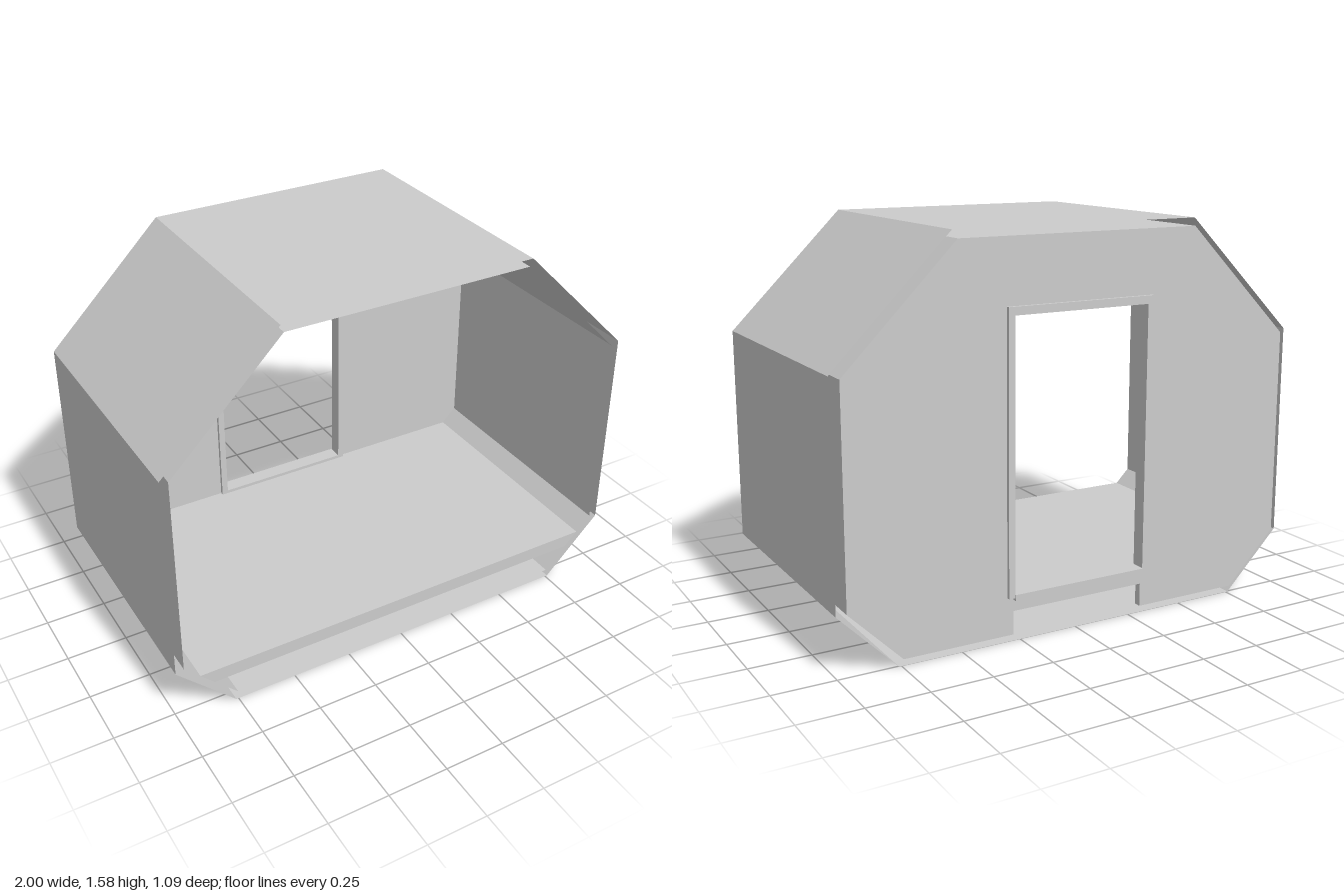
import * as THREE from 'three';

const material = new THREE.MeshStandardMaterial({ color: 0xcccccc, flatShading: true, side: THREE.DoubleSide });
const FRONT = 0.545;

// Mirrors the +x half of an outline (top to bottom) into a closed loop
const mirrored = (half) => [...half, ...half.slice().reverse().map(([x, y]) => [-x, y])];

const shapeOf = (points) => new THREE.Shape(points.map(([x, y]) => new THREE.Vector2(x, y)));

// Open-ended tube with the given outline, running from z0 to z1
function skin(name, outline, z0, z1) {
  const positions = [];
  outline.forEach(([ax, ay], i) => {
    const [bx, by] = outline[(i + 1) % outline.length];
    positions.push(ax, ay, z0, ax, ay, z1, bx, by, z1);
    positions.push(ax, ay, z0, bx, by, z1, bx, by, z0);
  });
  const geometry = new THREE.BufferGeometry();
  geometry.setAttribute('position', new THREE.Float32BufferAttribute(positions, 3));
  geometry.computeVertexNormals();
  return named(name, geometry);
}

// Solid slab with the given outline, running from z0 to z1
function slab(name, outline, z0, z1) {
  const geometry = new THREE.ExtrudeGeometry(shapeOf(outline), { depth: z1 - z0, bevelEnabled: false });
  geometry.translate(0, 0, z0);
  return named(name, geometry);
}

function named(name, geometry) {
  const mesh = new THREE.Mesh(geometry, material);
  mesh.name = name;
  return mesh;
}

export function createModel() {
  const model = new THREE.Group();
  model.name = 'cabinModule';

  // Outer and inner skins, with an open gap between them
  const outer = mirrored([[0.525, 1.58], [1, 1.108], [1, 0.24], [0.76, 0]]);
  const innerHalf = [[0.513, 1.55], [0.966, 1.097], [0.966, 0.25], [0.75, 0.035]];
  model.add(skin('outerSkin', outer, -0.505, FRONT));
  model.add(skin('innerSkin', mirrored(innerHalf), -0.495, FRONT));

  // Rear wall, cut by the doorway down to its lower edge
  const wall = mirrored([...innerHalf, [0.292, 0.035], [0.292, 1.28]]);
  model.add(slab('rearWall', wall, -0.525, -0.495));

  // Raised floor whose sides follow the lower chamfers
  const floor = mirrored([[0.902, 0.187], [0.845, 0.13]]);
  model.add(slab('floor', floor, -0.525, FRONT));

  // Door frame: two posts and a lintel
  const frame = mirrored([[0.318, 1.297], [0.318, 0.187], [0.291, 0.187], [0.291, 1.265]]);
  // Reorder so the loop runs around the outside, then back along the opening
  const [a, b, c, d, e, f, g, h] = frame;
  model.add(slab('doorFrame', [a, b, c, d, e, f, g, h], -0.54, -0.48));

  // Door sill
  const sill = new THREE.BoxGeometry(0.582, 0.025, 0.065);
  sill.translate(0, 0.1885, -0.5125);
  model.add(named('doorSill', sill));

  return model;
}
